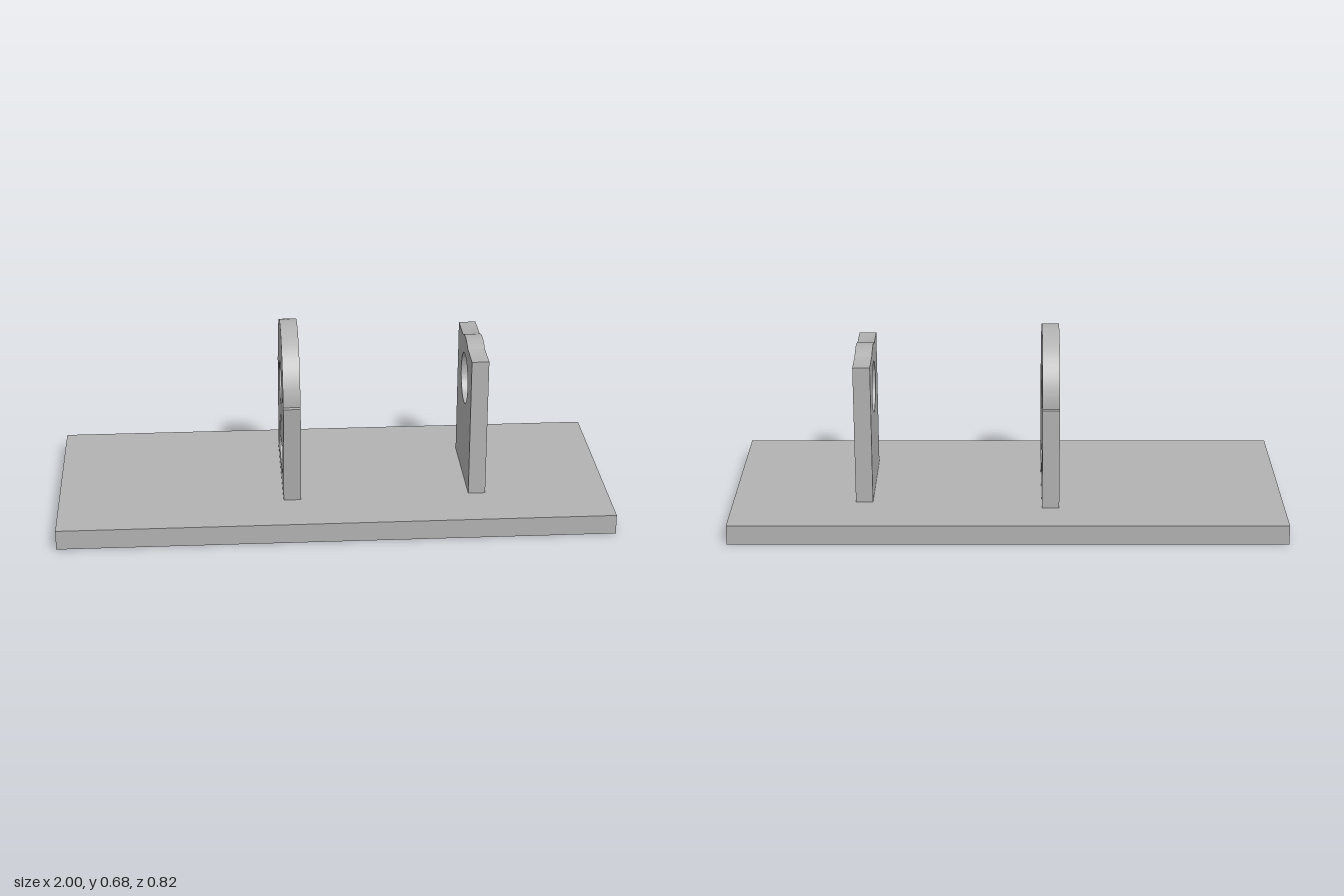
import * as THREE from 'three';
import { toCreasedNormals } from 'three/addons/utils/BufferGeometryUtils.js';

const BASE = 0.072;   // top of the base plate
const AXIS = 0.447;   // height of the shaft axis
const THICK = 0.062;  // thickness of the uprights

function circle(x, y, r) {
  const p = new THREE.Path();
  p.absarc(x, y, r, 0, Math.PI * 2, true);
  return p;
}

// Extrudes a profile drawn in z and y into an upright plate starting at x
function upright(shape, x, name, material) {
  const geo = new THREE.ExtrudeGeometry(shape, { depth: THICK, bevelEnabled: false, curveSegments: 40 });
  geo.rotateY(Math.PI / 2);
  const mesh = new THREE.Mesh(toCreasedNormals(geo, 0.5), material);
  mesh.position.x = x;
  mesh.name = name;
  return mesh;
}

// Round-topped plate with relief notches at its foot
function mountShape() {
  const s = new THREE.Shape();
  const a = Math.asin(0.01 / 0.024);
  s.moveTo(-0.25, BASE);
  for (const z of [-0.19, 0.19]) s.absarc(z, BASE - 0.01, 0.024, Math.PI - a, a, true);
  s.lineTo(0.25, BASE);
  s.lineTo(0.25, AXIS);
  s.absarc(0, AXIS, 0.232, 0, Math.PI, false);
  s.lineTo(-0.25, AXIS);
  s.closePath();

  // Shaft hole and four screw holes
  s.holes.push(circle(0, AXIS, 0.081));
  for (let i = 0; i < 4; i++) {
    const t = i * Math.PI / 2;
    s.holes.push(circle(0.146 * Math.cos(t), AXIS + 0.146 * Math.sin(t), 0.018));
  }

  // Cable window with a curved top edge
  const w = new THREE.Path();
  const t = Math.acos(0.125 / 0.232);
  w.moveTo(-0.065, 0.12);
  w.absarc(0.065, 0.18, 0.06, -Math.PI / 2, 0, false);
  w.absarc(0, AXIS, 0.232, -t, -Math.PI + t, true);
  w.absarc(-0.065, 0.18, 0.06, Math.PI, Math.PI * 1.5, false);
  s.holes.push(w);
  return s;
}

// Square-shouldered plate with a low arched crown
function supportShape() {
  const s = new THREE.Shape();
  const top = 0.59, r = 0.161;
  const a = Math.asin((top - AXIS) / r);
  s.moveTo(-0.197, BASE);
  s.lineTo(0.197, BASE);
  s.lineTo(0.197, top);
  s.absarc(0, AXIS, r, a, Math.PI - a, false);
  s.lineTo(-0.197, top);
  s.closePath();
  s.holes.push(circle(0, AXIS, 0.094));
  return s;
}

export function createModel() {
  const group = new THREE.Group();
  group.name = 'shaftMountBracket';
  const grey = new THREE.MeshStandardMaterial({ color: 0xb2b2b2 });
  grey.name = 'grey metal';

  const base = new THREE.Mesh(new THREE.BoxGeometry(2, BASE, 0.82), grey);
  base.position.y = BASE / 2;
  base.name = 'basePlate';

  group.add(
    base,
    upright(mountShape(), -0.185, 'motorMount', grey),
    upright(supportShape(), 0.491, 'bearingSupport', grey)
  );
  return group;
}
